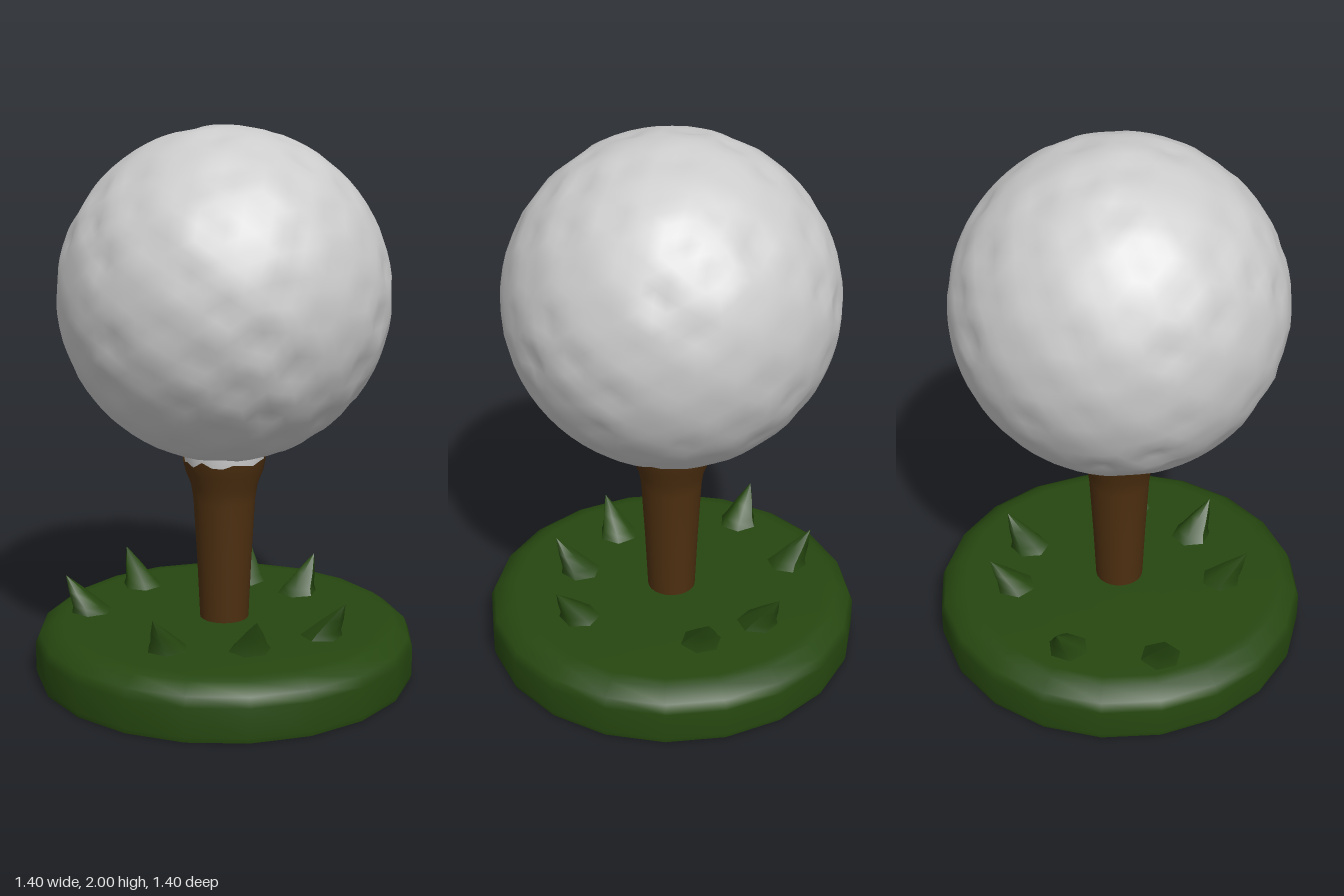
import * as THREE from 'three';
import { mergeVertices } from 'three/addons/utils/BufferGeometryUtils.js';

const mat = (name, color, side = THREE.FrontSide) =>
  Object.assign(new THREE.MeshStandardMaterial({ color, side }), { name });

const profile = (pts) => pts.map(([x, y]) => new THREE.Vector2(x, y));

// Small seeded generator for repeatable irregularity
function seeded(seed) {
  return () => {
    seed = (seed * 16807) % 2147483647;
    return seed / 2147483647;
  };
}

// Sphere with shallow, irregular dimples and smooth normals
function dimpledBall(radius) {
  const rand = seeded(41);
  const dimples = [];
  const count = 150;
  for (let i = 0; i < count; i++) {
    const y = 1 - (2 * (i + 0.5)) / count;
    const a = i * Math.PI * (3 - Math.sqrt(5));
    const r = Math.sqrt(1 - y * y);
    const dir = new THREE.Vector3(r * Math.cos(a), y, r * Math.sin(a));
    dimples.push({ dir, depth: 0.004 + 0.014 * rand(), size: 0.09 + 0.05 * rand() });
  }
  let geo = new THREE.IcosahedronGeometry(1, 13);
  geo.deleteAttribute('normal');
  geo.deleteAttribute('uv');
  geo = mergeVertices(geo, 1e-4);
  const pos = geo.attributes.position;
  const v = new THREE.Vector3();
  for (let i = 0; i < pos.count; i++) {
    v.fromBufferAttribute(pos, i).normalize();
    let r = radius;
    for (const d of dimples) {
      const t = v.distanceTo(d.dir) / d.size;
      if (t < 1) r -= d.depth * (1 - t * t);
    }
    v.multiplyScalar(r);
    pos.setXYZ(i, v.x, v.y, v.z);
  }
  geo.computeVertexNormals();
  return geo;
}

// Tapered tee with a flared cup and a ragged rim
function teeGeometry() {
  const pts = profile([[0.088, 0.17], [0.09, 0.2], [0.1, 0.42], [0.113, 0.65],
    [0.122, 0.71], [0.142, 0.76], [0.152, 0.808]]);
  const segments = 24;
  const geo = new THREE.LatheGeometry(pts, segments);
  const rand = seeded(7);
  const pos = geo.attributes.position;
  const rim = Array.from({ length: segments }, () => (rand() - 0.5) * 0.026);
  for (let s = 0; s <= segments; s++) {
    const i = s * pts.length + pts.length - 1;
    pos.setY(i, pos.getY(i) + rim[s % segments]);
  }
  return geo;
}

// Pointed tuft that leans outward to its tip
function bladeGeometry(lean, height) {
  const geo = new THREE.LatheGeometry(
    profile([[0.085, -0.01], [0.06, 0.025], [0.036, 0.075], [0.001, height]]), 6);
  const pos = geo.attributes.position;
  for (let i = 0; i < pos.count; i++) {
    const t = Math.max(0, pos.getY(i) / height);
    pos.setX(i, pos.getX(i) + lean * t);
  }
  geo.computeVertexNormals();
  return geo;
}

export function createModel() {
  const model = new THREE.Group();
  model.name = 'ballOnTee';
  const white = mat('ballWhite', 0xcccccc);
  const brown = mat('woodBrown', 0x4d2f10, THREE.DoubleSide);
  const green = mat('grassGreen', 0x264710);
  const add = (name, geo, material, parent = model) => {
    const mesh = new THREE.Mesh(geo, material);
    mesh.name = name;
    parent.add(mesh);
    return mesh;
  };

  // Turf disc with a rounded upper edge
  add('turf', new THREE.LatheGeometry(profile([[0.695, 0], [0.7, 0.02], [0.7, 0.125],
    [0.685, 0.16], [0.635, 0.195], [0.59, 0.2], [0, 0.2]]), 20), green);
  const underside = add('turfUnderside', new THREE.CircleGeometry(0.695, 20), green);
  underside.rotation.x = Math.PI / 2;

  // Grass tufts, placed by their tips [x, z]
  const grass = new THREE.Group();
  grass.name = 'grass';
  model.add(grass);
  const lean = 0.1;
  const blade = bladeGeometry(lean, 0.135);
  const tips = [[-0.565, 0], [-0.45, 0.39], [0.14, 0.47], [0.4, 0.22],
    [0.48, -0.14], [0, -0.48], [-0.29, -0.41]];
  for (const [x, z] of tips) {
    const tuft = add('grassTuft', blade, green, grass);
    const k = 1 - lean / Math.hypot(x, z);
    tuft.position.set(x * k, 0.198, z * k);
    tuft.rotation.y = Math.atan2(-z, x);
  }

  // Tee, and the pale seat showing above its ragged rim
  add('tee', teeGeometry(), brown);
  add('ballSeat', new THREE.LatheGeometry(
    profile([[0, 0.77], [0.138, 0.77], [0.145, 0.8], [0.146, 0.842]]), 24), white);

  // Ball
  const ball = add('ball', dimpledBall(0.597), white);
  ball.position.y = 1.406;
  return model;
}
